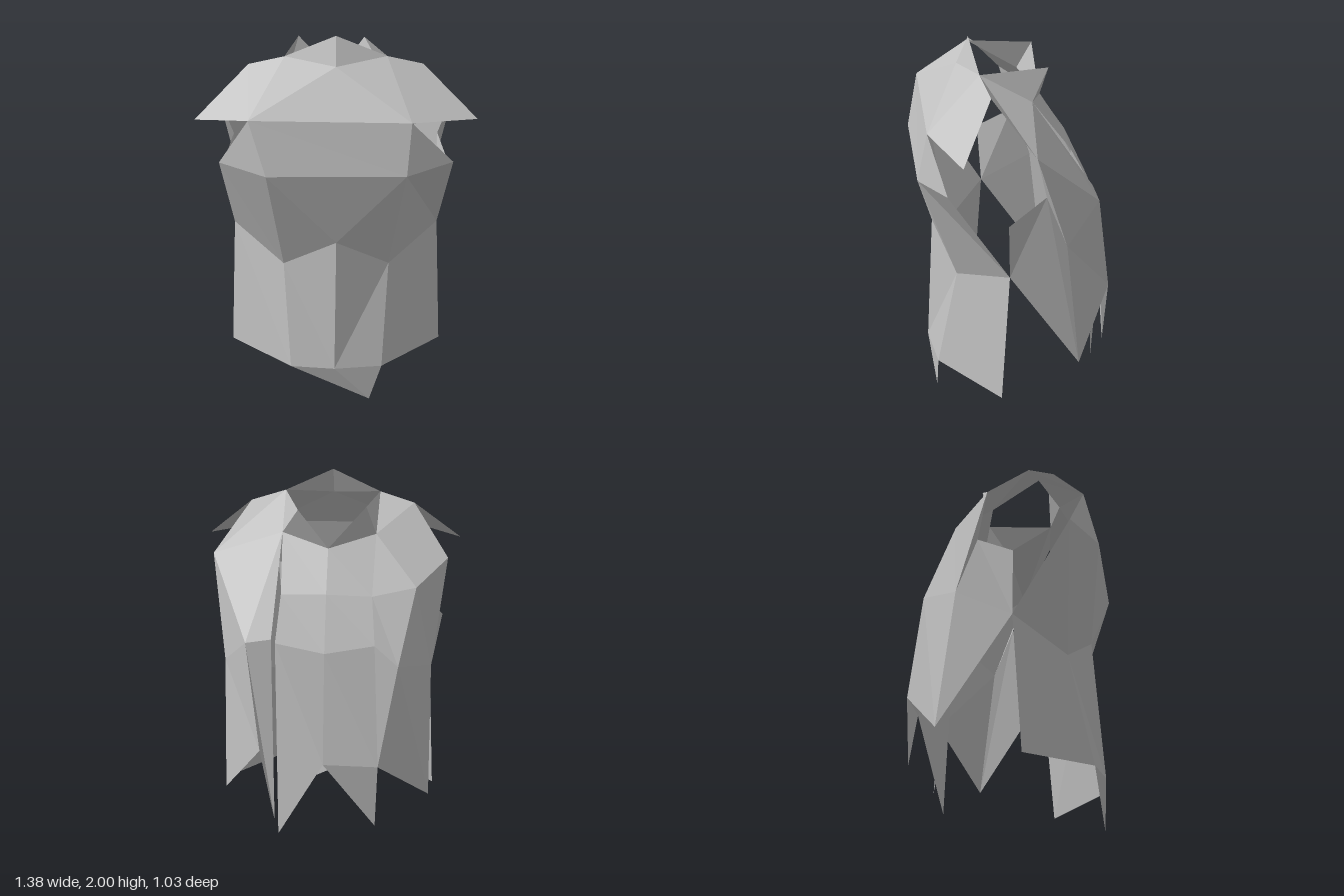
import * as THREE from 'three';

// Mirrored point pair: [left (+x), right (-x)]
const pair = (x, y, z) => [[x, y, z], [-x, y, z]];

export function createModel() {
  const group = new THREE.Group();
  const cloth = new THREE.MeshStandardMaterial({ color: 0xc0c0c0, flatShading: true, side: THREE.DoubleSide });
  cloth.name = 'grey cloth';

  // Joins successive rows of points (upper to lower, left to right seen from outside).
  // Repeated points in a row collapse a quad to a triangle.
  function panel(name, ...rows) {
    const pos = [];
    const tri = (a, b, c) => {
      if (a !== b && b !== c && a !== c) pos.push(...a, ...b, ...c);
    };
    for (let r = 0; r + 1 < rows.length; r++) {
      const a = rows[r], b = rows[r + 1];
      for (let i = 0; i + 1 < a.length; i++) {
        tri(a[i], b[i], b[i + 1]);
        tri(a[i], b[i + 1], a[i + 1]);
      }
    }
    const geo = new THREE.BufferGeometry();
    geo.setAttribute('position', new THREE.Float32BufferAttribute(pos, 3));
    geo.computeVertexNormals();
    const mesh = new THREE.Mesh(geo, cloth);
    mesh.name = name;
    group.add(mesh);
  }

  // Shared shoulder and neck points
  const [neckL, neckR] = pair(0.25, 1.89, 0.19);
  const [shoulderL, shoulderR] = pair(0.43, 1.84, 0.16);
  const [armL, armR] = pair(0.61, 1.6, -0.03);
  const [napeL, napeR] = pair(0.24, 1.73, -0.07);
  const nape = [0, 1.67, -0.15];

  // Cowl over the upper chest
  const [wingL, wingR] = pair(0.69, 1.615, 0.325);
  const peak = [0, 2, 0.213], fold = [0, 1.865, 0.275];
  const foldL = [0.36, 1.65, 0.46], foldR = [-0.42, 1.66, 0.45];
  panel('cowl',
    [wingR, shoulderR, neckR, neckR, peak, neckL, neckL, shoulderL, wingL],
    [wingR, foldR, foldR, fold, fold, fold, foldL, foldL, wingL]);
  panel('cowlFold', [fold, fold], [foldR, foldL]);

  // Yoke and chest
  const [yokeSideL, yokeSideR] = pair(0.575, 1.415, 0.39);
  const [yokeL, yokeR] = pair(0.34, 1.395, 0.515);
  const [waistSideL, waistSideR] = pair(0.545, 0.92, 0.09);
  const [waistL, waistR] = pair(0.275, 0.8, 0.33);
  const waist = [0, 0.98, 0.43];
  panel('yoke', [foldR, foldR, foldL, foldL], [yokeSideR, yokeR, yokeL, yokeSideL]);
  panel('chest',
    [yokeSideR, yokeR, yokeR, yokeL, yokeL, yokeSideL],
    [waistSideR, waistR, waist, waist, waistL, waistSideL]);

  // Skirt with a pointed hem
  const [hemSideL, hemSideR] = pair(0.585, 0.19, 0.14);
  const [hemL, hemR] = pair(0.245, 0.218, 0.445);
  const hem = [-0.01, 0.225, 0.48], hemTip = [0.18, 0, 0.452];
  panel('skirt',
    [waistSideR, waistR, waist, waistL, waistL, waistSideL],
    [hemSideR, hemR, hem, hem, hemL, hemSideL]);
  panel('skirtPoint', [hemR, hem, hemL], [hemTip, hemTip, hemTip]);

  // Standing collar behind the neck
  const collarL = [0.15, 1.87, -0.165], collarR = [-0.19, 1.885, -0.14];
  panel('leftCollar', [neckL, collarL, collarL], [napeL, napeL, nape]);
  panel('rightCollar', [collarR, collarR, neckR], [nape, napeR, napeR]);

  // Cape shoulders
  const bladeR = [-0.45, 1.5, -0.23], hipR = [-0.37, 1.14, -0.41];
  const hipL = [0.4, 1.24, -0.39], tailTopL = [0.27, 1.26, -0.385];
  panel('rightCapeShoulder', [napeR, napeR, neckR], [bladeR, armR, shoulderR]);
  panel('leftCapeShoulder', [neckL, napeL, napeL, napeL], [shoulderL, armL, hipL, tailTopL]);

  // Cape back with ragged hem points
  const [bladeMidL, bladeMidR] = pair(0.23, 1.46, -0.27);
  const [backL, backR] = pair(0.25, 1.24, -0.385);
  const capeHem = [0, 0.63, -0.515], capeHemR = [-0.28, 0.62, -0.5];
  panel('capeBack',
    [napeL, nape, napeR, napeR],
    [bladeMidL, [0, 1.47, -0.285], bladeMidR, bladeR],
    [backL, [0, 1.2, -0.41], backR, hipR],
    [[0.25, 0.15, -0.42], capeHem, capeHemR, capeHemR]);
  const tailTipR = [-0.27, 0.26, -0.48];
  panel('rightTail', [capeHem, capeHemR], [tailTipR, tailTipR]);
  const tailMidL = [0.33, 0.68, -0.48];
  panel('leftTail', [hipL, tailTopL], [tailMidL, [0.26, 0.27, -0.48]]);

  // Cape sides and the flaps reaching forward to the waist
  const [pitL, pitR] = pair(0.545, 1.36, -0.09);
  const [sideL, sideR] = pair(0.54, 1.07, -0.2);
  const [sideTipL, sideTipR] = pair(0.55, 0.35, -0.28);
  const [flapL, flapR] = pair(0.6, 1.245, 0.103);
  panel('rightCapeSide', [bladeR, armR, armR], [hipR, sideR, pitR]);
  panel('rightCapeHem', [hipR, sideR], [capeHemR, sideTipR]);
  panel('leftCapeSide', [armL, armL, hipL], [pitL, sideL, hipL]);
  panel('leftCapeHem', [sideL, hipL], [sideTipL, tailMidL]);
  panel('rightFlap', [sideR, pitR, flapR], [sideTipR, waistSideR, waistSideR]);
  panel('leftFlap', [flapL, pitL, sideL], [waistSideL, waistSideL, sideTipL]);

  return group;
}
